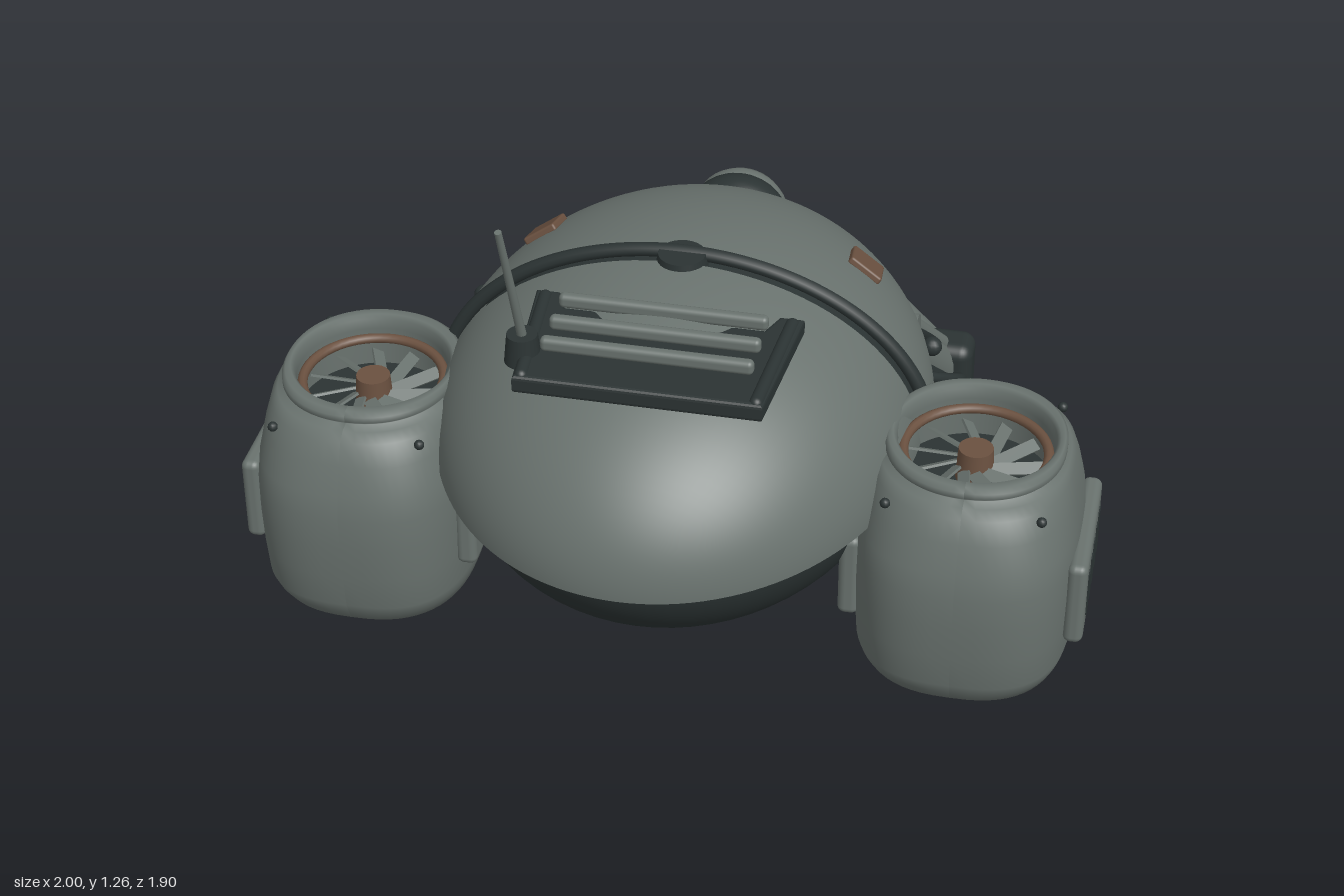
import * as THREE from 'three';
import { RoundedBoxGeometry } from 'three/addons/geometries/RoundedBoxGeometry.js';

const paint = (name, color) => {
  const m = new THREE.MeshStandardMaterial({ color, side: THREE.DoubleSide });
  m.name = name;
  return m;
};

export function createModel() {
  const root = new THREE.Group();
  root.name = 'hoverDrone';
  const grey = paint('shellGrey', 0x69726e);
  const dark = paint('darkMetal', 0x2b3333);
  const brown = paint('copperBrown', 0x6b5140);
  const cyan = paint('glowCyan', 0x26a3ac);
  const V = (x, y, z) => new THREE.Vector3(x, y, z);

  const add = (name, geo, mat, x = 0, y = 0, z = 0, parent = root) => {
    const m = new THREE.Mesh(geo, mat);
    m.name = name;
    m.position.set(x, y, z);
    parent.add(m);
    return m;
  };
  // cylinder or capsule stretched between two points
  const rod = (name, a, b, r, mat, { r2 = r, round = false } = {}) => {
    const d = b.clone().sub(a), len = d.length();
    const geo = round ? new THREE.CapsuleGeometry(r, len, 8, 20)
      : new THREE.CylinderGeometry(r2, r, len, 24);
    const m = add(name, geo, mat);
    m.position.copy(a).add(b).multiplyScalar(0.5);
    m.quaternion.setFromUnitVectors(V(0, 1, 0), d.normalize());
    return m;
  };

  // body: dark bowl and core under two grey shell halves
  const quarter = (t0, t1, rx, ry, rz) =>
    new THREE.SphereGeometry(1, 48, 32, Math.PI, Math.PI, t0, t1 - t0)
      .rotateX(Math.PI / 2).scale(rx, ry, rz);
  const seam = Math.acos(0.05);
  add('frontShell', quarter(Math.PI / 2, Math.PI, 0.592, 0.447, 0.72), grey, 0, 0.5, 0.22);
  add('rearShell', quarter(0, seam, 0.575, 0.44, 0.73), grey, 0, 0.5, 0.22);
  add('shellCore', quarter(0, Math.PI, 0.555, 0.425, 0.69), dark, 0, 0.5, 0.22);
  add('shellUnderside', new THREE.CircleGeometry(1, 64).rotateX(Math.PI / 2).scale(0.575, 1, 0.72), grey, 0, 0.501, 0.22);
  add('bowl', new THREE.SphereGeometry(1, 64, 32, 0, Math.PI * 2, Math.PI / 2, Math.PI / 2)
    .scale(0.54, 0.39, 0.66), dark, 0, 0.5, 0.22);

  // seam hoop with its cap
  const arch = [];
  for (let i = 0; i <= 24; i++) {
    const a = Math.PI * (0.05 + 0.9 * i / 24);
    arch.push(V(0.588 * Math.cos(a), 0.5 + 0.444 * Math.sin(a), 0.216));
  }
  add('seamHoop', new THREE.TubeGeometry(new THREE.CatmullRomCurve3(arch), 72, 0.017, 10), dark);
  add('seamCap', new THREE.CylinderGeometry(0.055, 0.065, 0.05, 24), dark, 0, 0.927, 0.235);

  // eye
  add('eyeHousing', new THREE.SphereGeometry(0.13, 32, 20).scale(1, 0.95, 0.75), dark, 0, 0.625, -0.44);
  const eyeProfile = [[0.115, 0], [0.118, 0.012], [0.118, 0.03], [0.105, 0.055], [0.085, 0.06], [0.075, 0.048]]
    .map(p => new THREE.Vector2(...p));
  add('eyeRing', new THREE.LatheGeometry(eyeProfile, 40).rotateX(-Math.PI / 2), grey, 0, 0.62, -0.472);
  add('eyeLens', new THREE.SphereGeometry(0.08, 32, 16).scale(1, 1, 0.22), cyan, 0, 0.62, -0.516);

  // equipment tray with bars
  const tray = new THREE.Shape([[-0.3, 0.38], [-0.26, 0.38], [-0.235, 0.44], [0.235, 0.44], [0.26, 0.38],
    [0.3, 0.38], [0.27, 0.71], [-0.27, 0.71]].map(p => new THREE.Vector2(...p)));
  add('tray', new THREE.ExtrudeGeometry(tray, { depth: 0.025, bevelSize: 0.01, bevelThickness: 0.01, bevelSegments: 3 })
    .rotateX(Math.PI / 2), dark, 0, 0.892, 0);
  for (const z of [0.435, 0.525, 0.61])
    add('trayBar', new RoundedBoxGeometry(0.48, 0.035, 0.028, 3, 0.012), grey, 0, 0.924, z);
  for (const s of [-1, 1])
    rod('trayRail', V(s * 0.285, 0.895, 0.39), V(s * 0.262, 0.895, 0.7), 0.016, dark, { round: true });

  // antenna
  add('antennaBase', new THREE.CylinderGeometry(0.035, 0.042, 0.07, 20), dark, -0.28, 0.91, 0.615);
  rod('antenna', V(-0.28, 0.94, 0.615), V(-0.3, 1.26, 0.7), 0.011, grey, { r2: 0.008 });

  // engine pod skin: round at the mouth, squarish oval at the waist
  const podProfile = [[0, 0.04], [0.165, 0.04], [0.172, 0.045], [0.176, 0.072], [0.182, 0.077], [0.22, 0.083],
    [0.235, 0.1], [0.244, 0.13], [0.25, 0.16], [0.255, 0.25], [0.257, 0.34], [0.256, 0.42], [0.25, 0.48],
    [0.238, 0.55], [0.226, 0.6], [0.215, 0.618], [0.202, 0.622], [0.206, 0.63], [0.206, 0.645], [0.2, 0.654],
    [0.19, 0.654], [0.182, 0.645], [0.178, 0.62], [0.178, 0.5]].map(p => new THREE.Vector2(...p));
  const podSkin = new THREE.LatheGeometry(podProfile, 64);
  const p = podSkin.attributes.position;
  for (let i = 0; i < p.count; i++) {
    const x = p.getX(i), z = p.getZ(i), r = Math.hypot(x, z);
    if (r < 0.19) continue;
    const e = 1 - 0.3 * Math.min(1, (r - 0.19) / 0.06);
    const bend = v => Math.sign(v) * Math.pow(Math.abs(v), e);
    p.setX(i, r * bend(x / r));
    p.setZ(i, (r + (r - 0.19)) * bend(z / r));
  }
  podSkin.computeVertexNormals();

  const makePod = s => {
    const pod = new THREE.Group();
    pod.name = s > 0 ? 'leftPod' : 'rightPod';
    pod.position.set(s * 0.713, 0, 0.38);
    root.add(pod);
    const put = (name, geo, mat, x, y, z) => add(name, geo, mat, x, y, z, pod);
    put('podSkin', podSkin, grey, 0, 0, 0);
    put('ductFloor', new THREE.CircleGeometry(0.18, 40).rotateX(-Math.PI / 2), dark, 0, 0.52, 0);
    put('ductRing', new THREE.TorusGeometry(0.166, 0.012, 10, 48).rotateX(Math.PI / 2), brown, 0, 0.6, 0);
    put('fanHub', new THREE.CylinderGeometry(0.04, 0.045, 0.08, 24), brown, 0, 0.57, 0);
    for (let i = 0; i < 11; i++) {
      const blade = put('fanBlade', new THREE.BoxGeometry(0.13, 0.006, 0.03).rotateX(0.55)
        .rotateY(0.25).translate(0.1, 0, 0), grey, 0, 0.565, 0);
      blade.rotation.y = i * Math.PI * 2 / 11;
    }
    // thruster underneath
    put('thrusterRing', new THREE.CylinderGeometry(0.155, 0.13, 0.03, 40), brown, 0, 0.028, 0);
    put('thrusterGlow', new THREE.CylinderGeometry(0.08, 0.072, 0.02, 32), cyan, 0, 0.01, 0);
    // side plates and vent slots
    put('ventPlate', new RoundedBoxGeometry(0.046, 0.22, 0.36, 3, 0.018), grey, s * 0.261, 0.33, 0);
    put('innerPlate', new RoundedBoxGeometry(0.05, 0.22, 0.36, 3, 0.018), grey, -s * 0.258, 0.33, 0);
    for (let i = -2; i <= 2; i++)
      put('ventSlot', new THREE.BoxGeometry(0.006, 0.115, 0.026), dark, s * 0.284, 0.33, i * 0.059);
    for (const a of [-1, 1]) for (const b of [-1, 1])
      put('rivet', new THREE.SphereGeometry(0.012, 10, 8), dark, a * 0.175, 0.592, b * 0.222);
  };

  // arm, shoulder and the small parts on each flank
  const makeArm = s => {
    const P = (x, y, z) => V(s * x, y, z);
    const shoulder = P(0.43, 0.42, -0.27), elbow = P(0.51, 0.17, -0.54), wrist = P(0.3, 0.145, -0.865);
    rod('shoulderBracket', P(0.385, 0.465, -0.3), P(0.41, 0.37, -0.19), 0.07, brown, { round: true });
    rod('shoulderJoint', P(0.38, 0.435, -0.265), P(0.49, 0.435, -0.265), 0.07, grey);
    rod('upperArm', shoulder, elbow, 0.066, grey);
    rod('upperArmRib', P(0.45, 0.45, -0.32), P(0.52, 0.235, -0.545), 0.03, grey);
    rod('upperArmStrip', P(0.48, 0.365, -0.27), P(0.56, 0.155, -0.49), 0.022, dark);
    add('elbowCuff', new RoundedBoxGeometry(0.195, 0.195, 0.115, 4, 0.035), dark, s * 0.51, 0.17, -0.545);
    rod('forearm', P(0.52, 0.17, -0.55), wrist, 0.064, grey, { r2: 0.06 });
    rod('outerFinger', P(0.25, 0.13, -0.925), P(0.165, 0.078, -0.925), 0.03, dark, { round: true });
    rod('innerFinger', P(0.25, 0.12, -0.795), P(0.165, 0.07, -0.795), 0.028, dark, { round: true });
    const hose = new THREE.CatmullRomCurve3([P(0.44, 0.37, -0.23), P(0.52, 0.33, -0.27),
      P(0.585, 0.27, -0.36), P(0.585, 0.21, -0.45), P(0.55, 0.17, -0.52)]);
    add('hose', new THREE.TubeGeometry(hose, 32, 0.014, 10), dark);
    // fin along the shell rim
    const fin = new THREE.CatmullRomCurve3([P(0.555, 0.59, -0.03), P(0.535, 0.55, -0.1), P(0.495, 0.51, -0.18), P(0.45, 0.475, -0.25)]);
    add('rimFin', new THREE.TubeGeometry(fin, 24, 0.024, 10), dark);
    for (const end of [0, 1])
      add('rimFinEnd', new THREE.SphereGeometry(0.024, 12, 10), dark, ...fin.getPoint(end).toArray());
    // brown patch lying on the shell
    const n = P(0.39 / 0.35, 0.31 / 0.2, -0.24 / 0.518).normalize();
    const patch = add('shellPatch', new RoundedBoxGeometry(0.09, 0.02, 0.09, 2, 0.006), brown, s * 0.39, 0.807, -0.02);
    patch.quaternion.setFromUnitVectors(V(0, 1, 0), n);
  };

  for (const s of [-1, 1]) {
    makePod(s);
    makeArm(s);
  }
  return root;
}
